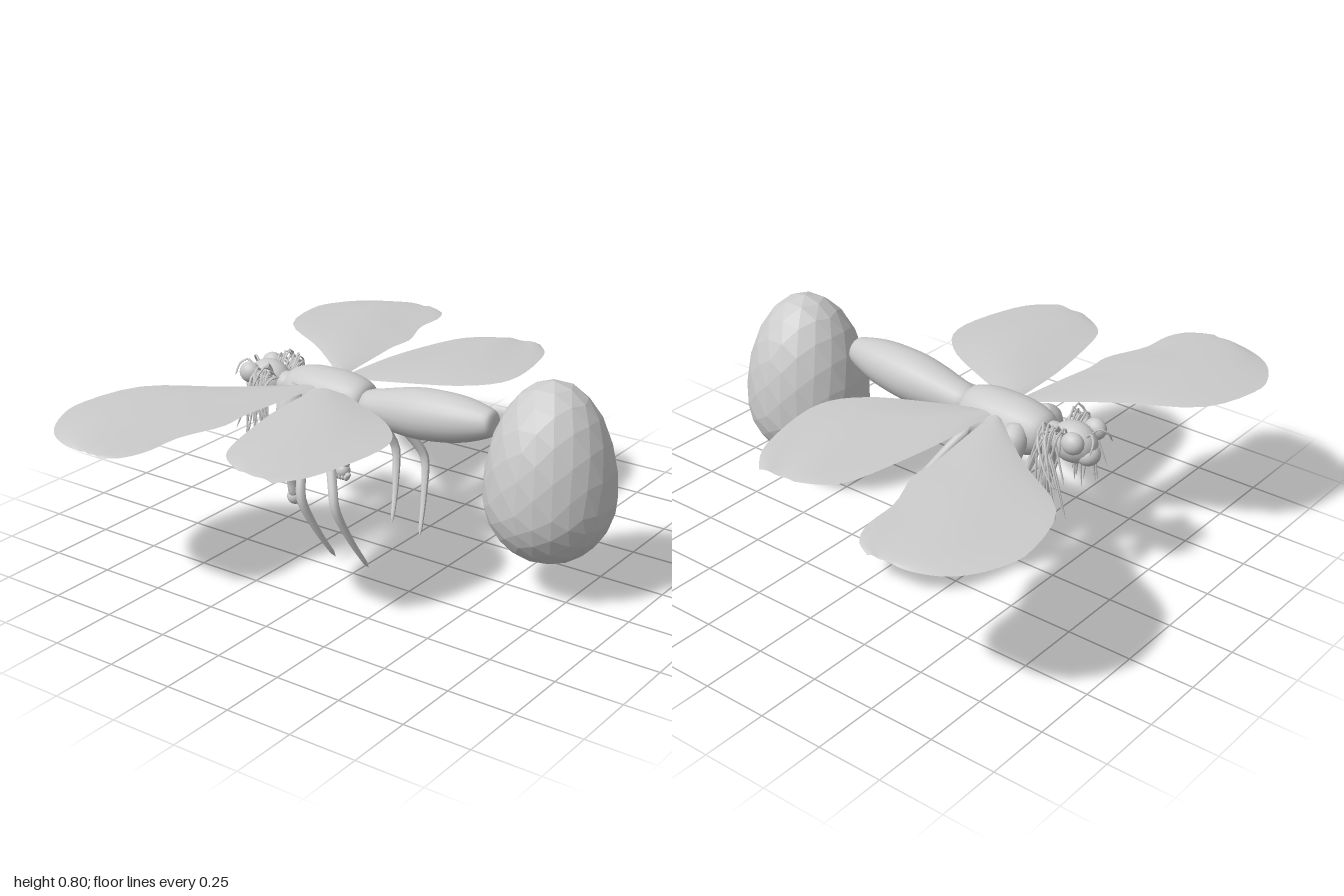
import * as THREE from 'three';

const V = (x, y, z) => new THREE.Vector3(x, y, z);
const MID = 0.015; // body's centre line in z

const grey = new THREE.MeshStandardMaterial({ color: 0xcccccc });
const greyFlat = new THREE.MeshStandardMaterial({ color: 0xcccccc, flatShading: true });
const greyThin = new THREE.MeshStandardMaterial({ color: 0xcccccc, side: THREE.DoubleSide });

function add(parent, name, geometry, material = grey) {
  const mesh = new THREE.Mesh(geometry, material);
  mesh.name = name;
  parent.add(mesh);
  return mesh;
}

// Round limb through [x, y, z, radius] stations, closed at both ends
function limb(stations, steps = 24, sides = 10) {
  const curve = new THREE.CatmullRomCurve3(stations.map(([x, y, z]) => V(x, y, z)), false, 'centripetal');
  const geometry = new THREE.TubeGeometry(curve, steps, 1, sides);
  const pos = geometry.attributes.position, p = V(), c = V();
  for (let i = 0; i <= steps; i++) {
    const u = i / steps;
    curve.getPointAt(u, c);
    const f = curve.getUtoTmapping(u) * (stations.length - 1);
    const k = Math.min(Math.floor(f), stations.length - 2);
    const r = i === 0 || i === steps ? 0.0005
      : THREE.MathUtils.lerp(stations[k][3], stations[k + 1][3], f - k);
    for (let j = 0; j <= sides; j++) {
      const n = i * (sides + 1) + j;
      p.fromBufferAttribute(pos, n).sub(c).multiplyScalar(r).add(c);
      pos.setXYZ(n, p.x, p.y, p.z);
    }
  }
  geometry.computeVertexNormals();
  return geometry;
}

// Turned body segment lying along x: profile of [radius, x]
function segment(profile) {
  const curve = new THREE.SplineCurve(profile.map(([r, x]) => new THREE.Vector2(r, x)));
  const points = curve.getPoints(28).map(p => p.set(Math.max(p.x, 0), p.y));
  return new THREE.LatheGeometry(points, 24).rotateZ(-Math.PI / 2);
}

// Thin cambered wing between a leading and a trailing edge of [x, z] points
function wing(lead, trail, side) {
  const edge = pts => new THREE.SplineCurve(pts.map(([x, z]) => new THREE.Vector2(x, z)));
  const a = edge(lead), b = edge(trail), rows = 24, cols = 10;
  const geometry = new THREE.PlaneGeometry(1, 1, cols, rows);
  for (let i = 0; i <= rows; i++) {
    const t = i / rows, p = a.getPoint(t), q = b.getPoint(t);
    for (let j = 0; j <= cols; j++) {
      const u = j / cols;
      const x = THREE.MathUtils.lerp(p.x, q.x, u), z = THREE.MathUtils.lerp(p.y, q.y, u);
      const camber = 0.016 * Math.sin(Math.PI * u) * Math.sin(Math.PI * Math.min(1, t * 0.8 + 0.1));
      const ripple = 0.003 * Math.sin(u * 9 + t * 7);
      const y = 0.615 - 0.024 * z * z + camber + ripple * t;
      geometry.attributes.position.setXYZ(i * (cols + 1) + j, x, y, z * side);
    }
  }
  geometry.computeVertexNormals();
  return geometry;
}

const FORE = {
  lead: [[-0.29, 0.06], [-0.55, 0.27], [-0.81, 0.44], [-0.89, 0.68], [-0.86, 0.82], [-0.78, 0.93], [-0.67, 0.985], [-0.58, 0.995]],
  trail: [[-0.27, 0.06], [-0.30, 0.30], [-0.32, 0.45], [-0.32, 0.57], [-0.38, 0.73], [-0.39, 0.87], [-0.43, 0.96], [-0.50, 1.0]],
};
const HIND = {
  lead: [[-0.27, 0.06], [-0.26, 0.30], [-0.23, 0.50], [-0.18, 0.70], [-0.12, 0.78], [-0.03, 0.83]],
  trail: [[-0.22, 0.06], [-0.10, 0.11], [0.15, 0.24], [0.26, 0.41], [0.21, 0.71], [0.12, 0.84]],
};

function seeded(seed) {
  return () => (seed = (seed * 16807) % 2147483647) / 2147483647;
}

export function createModel() {
  const model = new THREE.Group();
  model.name = 'wingedInsectWithEgg';

  // Body
  add(model, 'thorax', segment([
    [0, -0.185], [0.045, -0.182], [0.078, -0.155], [0.1, -0.08], [0.105, 0],
    [0.103, 0.08], [0.088, 0.15], [0.06, 0.182], [0, 0.185],
  ])).position.set(-0.28, 0.56, 0.01);
  const abdomen = add(model, 'abdomen', segment([
    [0, -0.28], [0.055, -0.275], [0.075, -0.18], [0.092, -0.06], [0.094, 0.03],
    [0.083, 0.15], [0.055, 0.255], [0.035, 0.28], [0, 0.283],
  ]));
  abdomen.position.set(0.17, 0.587, 0.02);
  abdomen.rotation.z = 0.1;

  // Head
  const head = new THREE.Group();
  head.name = 'head';
  model.add(head);
  const ball = new THREE.SphereGeometry(1, 20, 14);
  const blob = (name, parent, x, y, z, sx, sy, sz) => {
    const mesh = add(parent, name, ball);
    mesh.position.set(x, y, z);
    mesh.scale.set(sx, sy, sz);
  };
  blob('skull', head, -0.56, 0.57, MID, 0.09, 0.075, 0.07);
  blob('neck', head, -0.47, 0.565, MID, 0.06, 0.05, 0.05);
  blob('muzzle', head, -0.62, 0.54, MID, 0.045, 0.04, 0.045);

  for (const s of [1, -1]) {
    const label = s > 0 ? 'left' : 'right';
    const z = d => MID + s * d;

    // Eyes and feelers
    blob(label + 'Eye', head, -0.6, 0.605, z(0.068), 0.043, 0.04, 0.035);
    add(head, label + 'Antenna', limb([
      [-0.61, 0.60, z(0.015), 0.004], [-0.645, 0.635, z(0.025), 0.004],
      [-0.668, 0.62, z(0.045), 0.004], [-0.672, 0.58, z(0.07), 0.003],
    ], 12, 5));

    // Hair strands hanging beside the head
    const rand = seeded(s > 0 ? 71 : 137);
    const hair = new THREE.Group();
    hair.name = label + 'Hair';
    head.add(hair);
    for (let i = 0; i < 20; i++) {
      const x0 = -0.56 + 0.08 * rand(), out = 0.07 + 0.09 * rand();
      const x1 = -0.53 + (rand() - 0.5) * 0.18, top = 0.6 + 0.065 * rand(), end = 0.32 + 0.14 * rand();
      add(hair, 'strand', limb([
        [x0, 0.6, z(0.04), 0.0045], [x0, top, z(0.03 + out * 0.5), 0.0045],
        [(x0 + x1) / 2, 0.53, z(out), 0.0045], [x1, end, z(out + 0.01), 0.003],
      ], 12, 5));
    }

    // Jointed arms ending in a fist
    const arm = new THREE.Group();
    arm.name = label + 'Arm';
    model.add(arm);
    add(arm, 'armLimb', limb([
      [-0.36, 0.6, z(0.06), 0.03], [-0.375, 0.56, z(0.1), 0.052], [-0.365, 0.48, z(0.135), 0.048],
      [-0.35, 0.4, z(0.16), 0.034], [-0.335, 0.33, z(0.168), 0.036],
      [-0.33, 0.26, z(0.16), 0.024], [-0.33, 0.21, z(0.155), 0.022], [-0.33, 0.19, z(0.15), 0.018],
    ], 32, 12));
    blob('palm', arm, -0.332, 0.192, z(0.15), 0.03, 0.03, 0.028);
    for (let f = 0; f < 4; f++) {
      blob('finger', arm, -0.348 + f * 0.014, 0.172, z(0.14), 0.009, 0.014, 0.017);
    }
    blob('thumb', arm, -0.302, 0.182, z(0.142), 0.012, 0.01, 0.012);

    // Two pairs of thin bent legs
    add(model, label + 'MiddleLeg', limb([
      [-0.255, 0.53, z(0.1), 0.018], [-0.245, 0.49, z(0.17), 0.018], [-0.192, 0.3, z(0.29), 0.018],
      [-0.182, 0.26, z(0.295), 0.018], [-0.15, 0.13, z(0.245), 0.012], [-0.12, 0.012, z(0.18), 0.007],
    ]));
    add(model, label + 'RearLeg', limb([
      [-0.175, 0.53, z(0.09), 0.018], [-0.15, 0.485, z(0.16), 0.018], [-0.055, 0.31, z(0.275), 0.018],
      [-0.04, 0.265, z(0.285), 0.018], [-0.01, 0.13, z(0.235), 0.012], [0.02, 0, z(0.165), 0.007],
    ]));

    // Wings
    add(model, label + 'ForeWing', wing(FORE.lead, FORE.trail, s), greyThin);
    add(model, label + 'HindWing', wing(HIND.lead, HIND.trail, s), greyThin);
  }

  // Faceted egg, drawn out towards the top
  const egg = new THREE.IcosahedronGeometry(1, 3);
  const pos = egg.attributes.position;
  for (let i = 0; i < pos.count; i++) {
    const y = pos.getY(i);
    pos.setXYZ(i, pos.getX(i) * 0.237, y * (y > 0 ? 0.42 : 0.25), pos.getZ(i) * 0.237);
  }
  egg.computeVertexNormals();
  add(model, 'egg', egg, greyFlat).position.set(0.648, 0.38, -0.037);

  return model;
}
